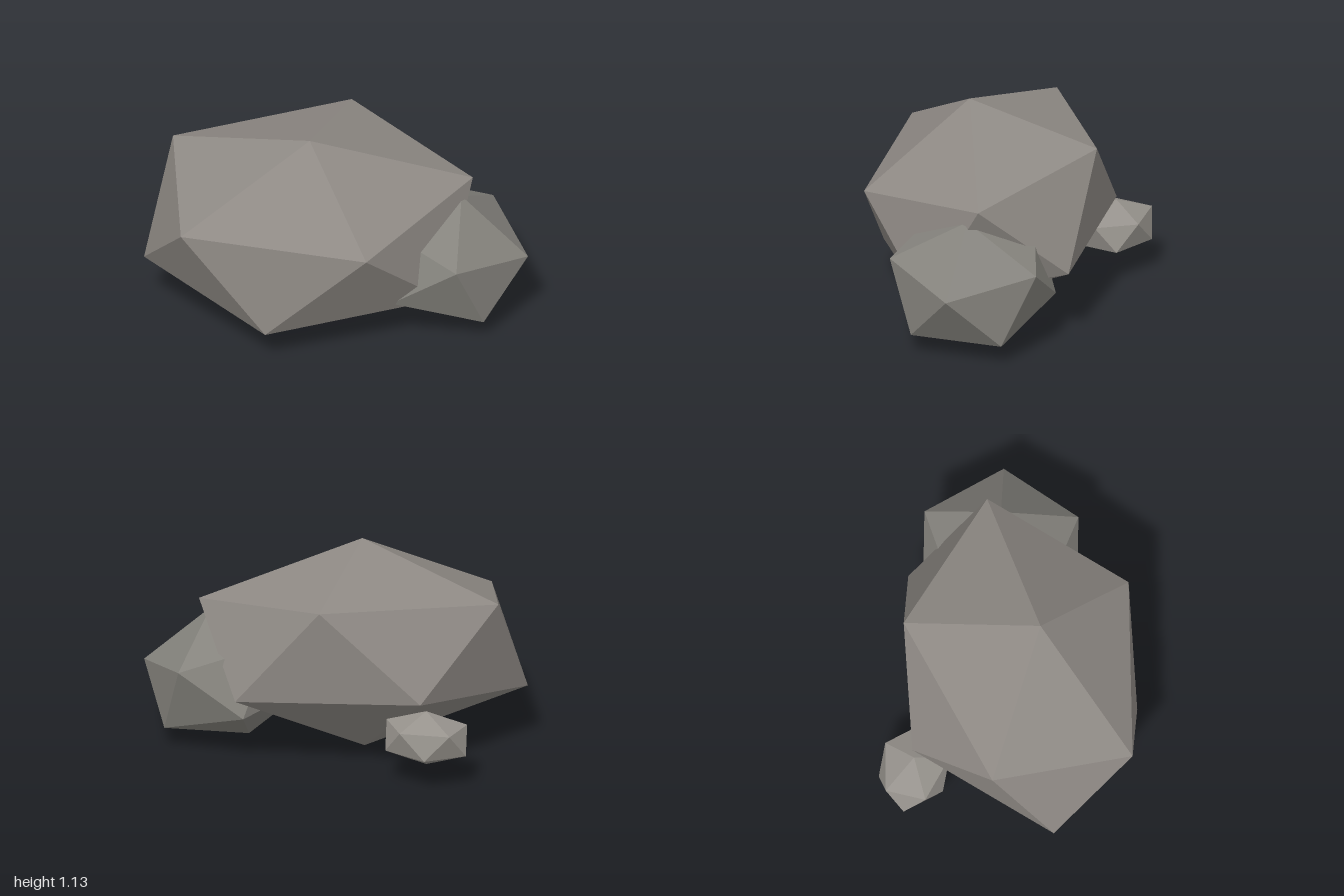
import * as THREE from 'three';
import { ConvexGeometry } from 'three/addons/geometries/ConvexGeometry.js';

// A rock is a stretched icosahedron: six half-axes, each mirrored through the centre.
function makeRock(name, color, centre, halfAxes) {
  const points = [];
  for (const axis of halfAxes) {
    const v = new THREE.Vector3(...axis);
    points.push(v, v.clone().negate());
  }
  const material = new THREE.MeshStandardMaterial({ color, flatShading: true });
  const rock = new THREE.Mesh(new ConvexGeometry(points), material);
  rock.name = name;
  rock.position.set(...centre);
  return rock;
}

export function createModel() {
  const group = new THREE.Group();
  group.name = 'rockCluster';

  // Main boulder, leaning slightly forward
  group.add(makeRock('largeRock', 0x8e8984, [-0.155, 0.575, 0], [
    [0.055, 0.565, 0.10],
    [-0.425, 0.175, 0.74],
    [0.575, 0.125, 0.47],
    [0.815, 0.255, -0.39],
    [-0.045, 0.385, -0.65],
    [-0.805, 0.335, 0.04],
  ]));

  // Medium rock sunk into the boulder's left side
  group.add(makeRock('mediumRock', 0x85837d, [0.526, 0.39, -0.28], [
    [0.474, 0.025, -0.10],
    [0.264, 0.12, 0.375],
    [0.106, 0.36, -0.025],
    [0.094, 0.12, -0.455],
    [0.244, -0.27, -0.32],
    [0.344, -0.27, 0.195],
  ]));

  // Small rock behind on the right: an upright axis and a ring of five
  const axes = [[0, 0.155, 0]];
  for (let i = 0; i < 5; i++) {
    const a = (i / 5) * Math.PI * 2;
    axes.push([0.242 * Math.cos(a), 0.07, 0.191 * Math.sin(a)]);
  }
  group.add(makeRock('smallRock', 0x96928c, [-0.758, 0.262, -0.453], axes));

  return group;
}
